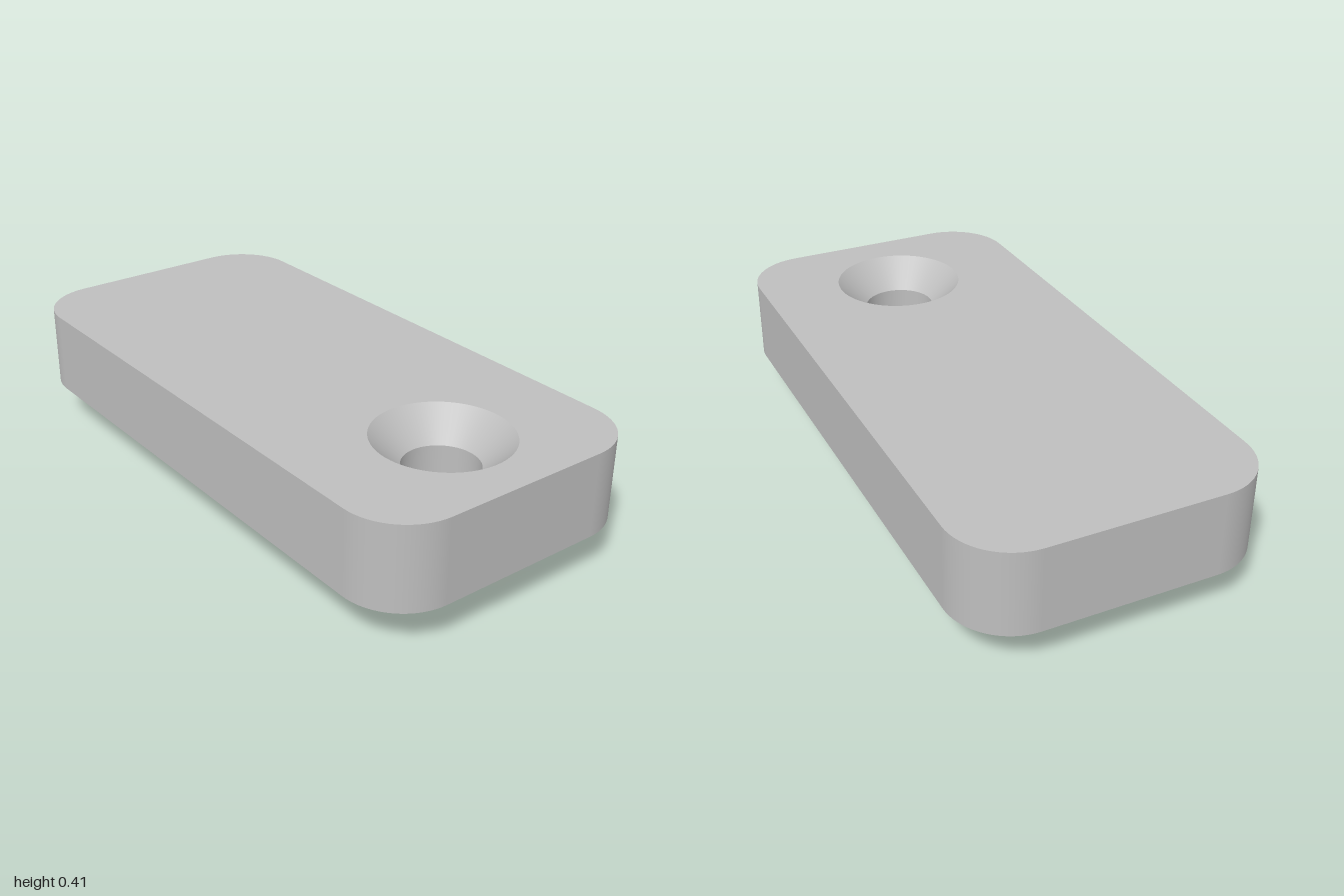
import * as THREE from 'three';

const SEGMENTS = 64;
const BOTTOM = 0.14, TOP = 0.415;          // plate underside and upper face
const HALF_X = 1, HALF_Z = 0.48, CORNER = 0.2;
const HOLE = { x: 0.655, r: 0.12, sinkR: 0.218, sinkY: TOP - 0.098 };
const POCKET = { x: 0, r: 0.363, y: BOTTOM + 0.22 };
const PEG = { x: -0.66, r: 0.104 };

export function createModel() {
  const group = new THREE.Group();
  const grey = new THREE.MeshStandardMaterial({ color: 0xbebebe });
  grey.name = 'grey';

  const add = (name, geometry) => {
    const mesh = new THREE.Mesh(geometry, grey);
    mesh.name = name;
    group.add(mesh);
  };

  // Rounded outline as points with their outward normals
  const outline = [];
  const steps = 16;
  [[1, 1], [-1, 1], [-1, -1], [1, -1]].forEach(([sx, sz], quarter) => {
    for (let i = 0; i <= steps; i++) {
      const a = (quarter + i / steps) * Math.PI / 2;
      const nx = Math.cos(a), nz = Math.sin(a);
      outline.push({
        x: sx * (HALF_X - CORNER) + CORNER * nx,
        z: sz * (HALF_Z - CORNER) + CORNER * nz, nx, nz,
      });
    }
  });

  // Flat plate face with round openings, facing up or down
  const face = (y, up, openings) => {
    const shape = new THREE.Shape(outline.map(p => new THREE.Vector2(p.x, p.z)));
    for (const [x, r] of openings) {
      shape.holes.push(new THREE.Path().absarc(x, 0, r, 0, Math.PI * 2, true));
    }
    return new THREE.ShapeGeometry(shape, SEGMENTS / 2)
      .rotateX(up ? -Math.PI / 2 : Math.PI / 2).translate(0, y, 0);
  };

  // Turned wall: faces outward when it rises, inward when it descends
  const turned = (x, r0, y0, r1, y1) => new THREE.LatheGeometry(
    [new THREE.Vector2(r0, y0), new THREE.Vector2(r1, y1)], SEGMENTS).translate(x, 0, 0);

  // Disc facing down
  const disc = (x, r, y) => new THREE.CircleGeometry(r, SEGMENTS)
    .rotateX(Math.PI / 2).translate(x, y, 0);

  // Outer wall of the plate
  const positions = [], normals = [], index = [];
  outline.forEach((p, i) => {
    positions.push(p.x, BOTTOM, p.z, p.x, TOP, p.z);
    normals.push(p.nx, 0, p.nz, p.nx, 0, p.nz);
    const a = 2 * i, b = 2 * ((i + 1) % outline.length);
    index.push(a, a + 1, b, b, a + 1, b + 1);
  });
  const wall = new THREE.BufferGeometry();
  wall.setAttribute('position', new THREE.Float32BufferAttribute(positions, 3));
  wall.setAttribute('normal', new THREE.Float32BufferAttribute(normals, 3));
  wall.setIndex(index);
  add('plateWall', wall);

  // Upper and lower faces of the plate
  add('plateTop', face(TOP, true, [[HOLE.x, HOLE.sinkR]]));
  add('plateBottom', face(BOTTOM, false, [[HOLE.x, HOLE.r], [POCKET.x, POCKET.r]]));

  // Countersunk screw hole
  add('countersink', turned(HOLE.x, HOLE.sinkR, TOP, HOLE.r, HOLE.sinkY));
  add('screwHole', turned(HOLE.x, HOLE.r, HOLE.sinkY, HOLE.r, BOTTOM));

  // Round blind pocket in the underside
  add('pocketWall', turned(POCKET.x, POCKET.r, POCKET.y, POCKET.r, BOTTOM));
  add('pocketCeiling', disc(POCKET.x, POCKET.r, POCKET.y));

  // Locating peg
  add('pegWall', turned(PEG.x, PEG.r, 0, PEG.r, BOTTOM));
  add('pegEnd', disc(PEG.x, PEG.r, 0));

  return group;
}
